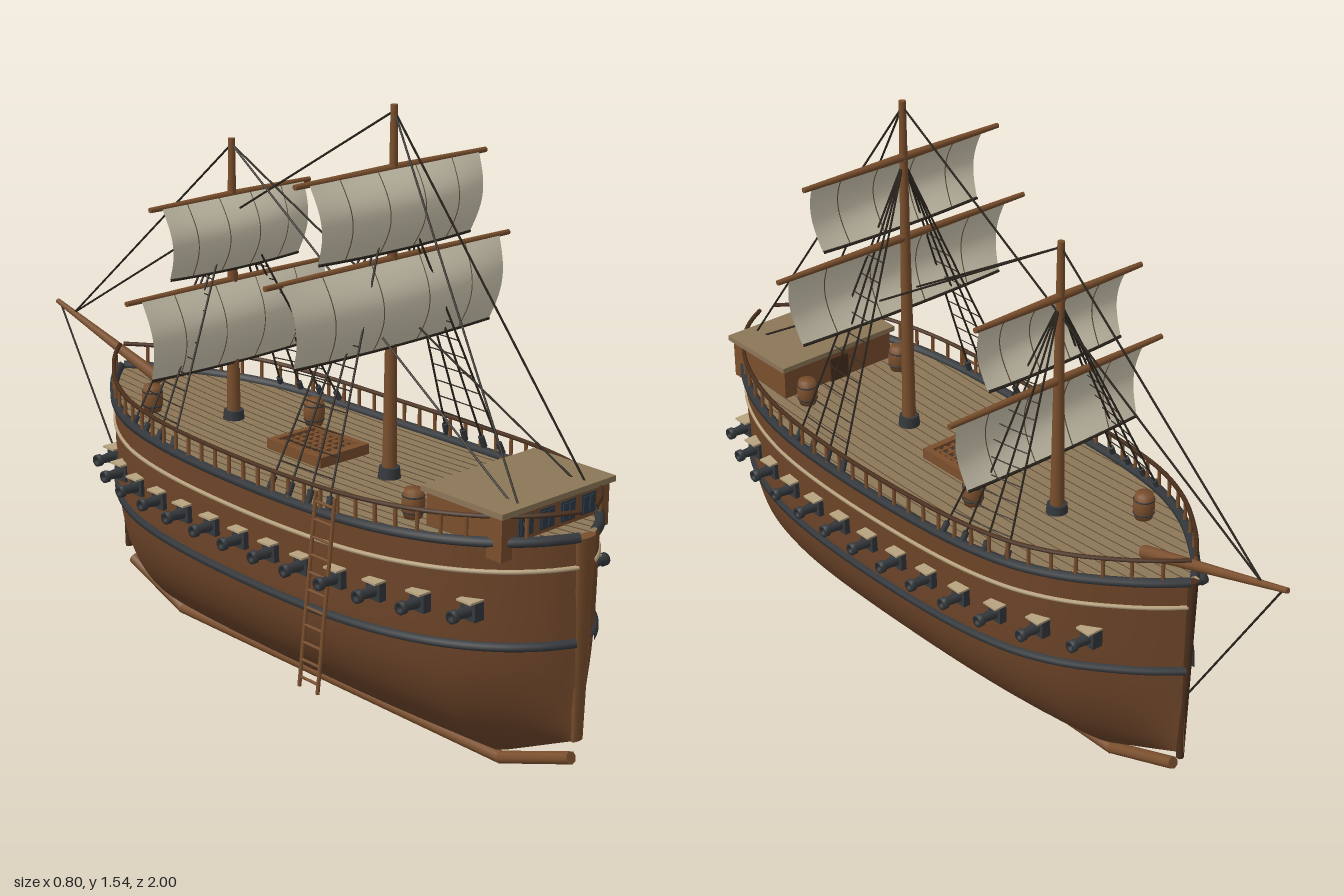
import * as THREE from 'three';

const mat = (color, double) => new THREE.MeshStandardMaterial({ color, side: double ? THREE.DoubleSide : THREE.FrontSide });
const M = {
  hull: mat(0x6e4529, true), wood: mat(0x7a4f2d), darkWood: mat(0x4a2f1c), deck: mat(0x8c7657, true), seam: mat(0x5d4b35),
  iron: mat(0x34383c), rope: mat(0x2a241d), sail: mat(0xd2cbb4, true), trim: mat(0xb8a37f), glass: mat(0x2c3a48),
};
const V = (x, y, z) => new THREE.Vector3(x, y, z);

function add(parent, name, geo, material, x = 0, y = 0, z = 0) {
  const m = new THREE.Mesh(geo, material);
  m.name = name;
  m.position.set(x, y, z);
  parent.add(m);
  return m;
}
const box = (p, name, w, h, d, material, x, y, z) => add(p, name, new THREE.BoxGeometry(w, h, d), material, x, y, z);

// Round bar between two points
function bar(p, name, a, b, r0, r1, material, sides = 6) {
  const m = add(p, name, new THREE.CylinderGeometry(r1, r0, a.distanceTo(b), sides), material);
  m.position.copy(a).add(b).multiplyScalar(0.5);
  m.quaternion.setFromUnitVectors(V(0, 1, 0), b.clone().sub(a).normalize());
  return m;
}
const rope = (p, name, a, b, r = 0.0028) => bar(p, name, a, b, r, r, M.rope, 5);

// Linear lookup in a list of [position, value] pairs
function lookup(table, s) {
  for (let i = 1; i < table.length; i++) {
    const [a, va] = table[i - 1], [b, vb] = table[i];
    if (s <= b) return va + (vb - va) * Math.max(0, (s - a) / (b - a));
  }
  return table[table.length - 1][1];
}
const smooth = (pairs, n) => new THREE.SplineCurve(pairs.map(p => new THREE.Vector2(...p))).getPoints(n).map(p => [p.x, p.y]);

// Hull form: plan half-width by z, section fullness by height, keel line, sheer
const PLAN = smooth([[-0.705, 0.006], [-0.66, 0.055], [-0.6, 0.108], [-0.5, 0.18], [-0.4, 0.23], [-0.3, 0.261], [-0.15, 0.284], [0.05, 0.296],
  [0.3, 0.3], [0.5, 0.291], [0.65, 0.265], [0.78, 0.22], [0.88, 0.16], [0.95, 0.09], [0.99, 0.025]], 70);
const SECTION = smooth([[0, 0.03], [0.05, 0.23], [0.11, 0.41], [0.2, 0.61], [0.3, 0.77], [0.42, 0.89], [0.55, 0.955], [0.75, 0.985], [1, 1]], 30);
const KEEL = [[-0.705, 0.15], [-0.45, 0.035], [0.75, 0.035], [0.99, 0.15]];
const BOW = -0.705, STERN = 0.99;
const lift = z => 0.035 * ((z - 0.145) / 0.855) ** 2;
const sheer = z => 0.622 + lift(z);
function hullX(z, y) {
  const k = lookup(KEEL, z);
  return lookup(PLAN, z) * lookup(SECTION, Math.min(1, (y - k) / (sheer(z) - k)));
}

function surface(rows, cols, fn) {
  const pos = [], idx = [];
  for (let i = 0; i <= rows; i++) for (let j = 0; j <= cols; j++) pos.push(...fn(i / rows, j / cols));
  for (let i = 0; i < rows; i++) for (let j = 0; j < cols; j++) {
    const a = i * (cols + 1) + j, b = a + cols + 1;
    idx.push(a, a + 1, b, a + 1, b + 1, b);
  }
  const g = new THREE.BufferGeometry();
  g.setAttribute('position', new THREE.Float32BufferAttribute(pos, 3));
  g.setIndex(idx);
  g.computeVertexNormals();
  return g;
}
const stationZ = t => BOW + (STERN - BOW) * (0.5 - 0.5 * Math.cos(Math.PI * t));

// Strake tube following the hull side at a base height
function strake(p, name, height, r, material, out = 0) {
  for (const s of [1, -1]) {
    const pts = [];
    for (let i = 0; i <= 40; i++) {
      const z = stationZ(i / 40), y = height + lift(z);
      pts.push(V(s * (hullX(z, y) + out), y, z));
    }
    add(p, name, new THREE.TubeGeometry(new THREE.CatmullRomCurve3(pts), 80, r, 6), material);
  }
}

function buildHull(g) {
  add(g, 'hull', surface(60, 48, (i, j) => {
    const z = stationZ(i), c = j * 2 - 1, k = lookup(KEEL, z);
    const u = c * c;
    return [Math.sign(c) * lookup(PLAN, z) * (c === 0 ? 0 : lookup(SECTION, u)), k + (sheer(z) - k) * u, z];
  }), M.hull);
  add(g, 'deck', surface(60, 2, (i, j) => {
    const z = stationZ(i);
    return [(1 - j * 2) * lookup(PLAN, z), sheer(z) - 0.002, z];
  }), M.deck);
  // Plank seams
  for (let x = -0.27; x < 0.28; x += 0.03) {
    const inside = PLAN.filter(p => p[1] > Math.abs(x) + 0.008).map(p => p[0]);
    const pts = [];
    for (let i = 0; i <= 10; i++) {
      const z = inside[0] + (inside[inside.length - 1] - inside[0]) * i / 10;
      pts.push(V(x, sheer(z) - 0.002, z));
    }
    add(g, 'plankSeam', new THREE.TubeGeometry(new THREE.CatmullRomCurve3(pts), 12, 0.0015, 4), M.seam);
  }
  strake(g, 'gunwale', 0.624, 0.013, M.iron);
  strake(g, 'trimStripe', 0.552, 0.006, M.trim);
  strake(g, 'wale', 0.367, 0.012, M.iron);
  strake(g, 'handRail', 0.686, 0.006, M.darkWood);
  for (let z = -0.66; z < 0.97; z += 0.0545) for (const s of [1, -1])
    bar(g, 'railPost', V(s * lookup(PLAN, z), sheer(z), z), V(s * lookup(PLAN, z), 0.686 + lift(z), z), 0.005, 0.005, M.wood);
  // Keel, stem and stern post
  bar(g, 'keel', V(0, 0.016, 0.755), V(0, 0.016, -0.455), 0.016, 0.016, M.wood, 8);
  bar(g, 'keelAft', V(0, 0.016, 0.75), V(0, 0.098, 0.97), 0.016, 0.016, M.wood, 8);
  bar(g, 'keelFore', V(0, 0.016, -0.45), V(0, 0.098, -0.67), 0.016, 0.016, M.wood, 8);
  bar(g, 'stem', V(0, 0.13, -0.692), V(0, 0.66, -0.706), 0.01, 0.013, M.darkWood, 8);
  const post = bar(g, 'sternPost', V(0, 0.15, 0.985), V(0, 0.655, 0.985), 0.018, 0.033, M.wood, 14);
  post.scale.z = 0.45;
}

function buildGuns(g) {
  const profile = [[0, -0.03], [0.014, -0.03], [0.014, 0.02], [0.011, 0.052], [0.016, 0.056], [0.016, 0.07], [0.008, 0.07], [0.008, 0.05], [0, 0.05]];
  const barrel = new THREE.LatheGeometry(profile.map(p => new THREE.Vector2(...p)), 12);
  for (let i = 0; i < 13; i++) for (const s of [1, -1]) {
    const z = 0.826 - i * 0.113, y = 0.48, x = s * hullX(z, y);
    const gun = new THREE.Group();
    gun.name = 'gun';
    g.add(gun);
    box(gun, 'gunPort', 0.03, 0.045, 0.045, M.iron, x, y, z);
    box(gun, 'portLid', 0.045, 0.005, 0.045, M.trim, x + s * 0.008, y + 0.026, z);
    add(gun, 'barrel', barrel, M.iron, x, y, z).rotation.z = -s * Math.PI / 2;
  }
}

function buildSail(g, z, yTop, yBot, wTop, wBot) {
  const bulge = (u, v) => z + 0.012 + 0.042 * Math.sin(Math.PI * v) * (1 - 0.35 * (2 * u - 1) ** 2);
  const at = (u, v, off = 0) => [(2 * u - 1) * (wTop + (wBot - wTop) * v), yTop + (yBot - yTop) * v + 0.012 * v * (1 - (2 * u - 1) ** 2) * -0.5, bulge(u, v) + off];
  add(g, 'sail', surface(14, 20, (v, u) => at(u, v)), M.sail);
  const line = (name, fn, r, material) => {
    const pts = Array.from({ length: 13 }, (_, i) => V(...fn(i / 12)));
    add(g, name, new THREE.TubeGeometry(new THREE.CatmullRomCurve3(pts), 20, r, 5), material);
  };
  line('footRope', t => at(t, 1), 0.004, M.rope);
  for (const u of [0.17, 0.39, 0.61, 0.83]) line('sailSeam', t => at(u, t), 0.0015, M.seam);
}

// Mast with yards, sails and shrouds; each sail: [yard y, foot y, yard half, head half, foot half]
function buildMast(g, name, z, top, apex, sails) {
  const mast = new THREE.Group();
  mast.name = name;
  g.add(mast);
  bar(mast, 'pole', V(0, 0.6, z), V(0, top, z), 0.019, 0.009, M.wood, 12);
  bar(mast, 'collar', V(0, 0.615, z), V(0, 0.65, z), 0.03, 0.026, M.iron, 12);
  for (const [y, foot, half, head, base] of sails) {
    for (const s of [1, -1]) bar(mast, 'yard', V(0, y, z), V(s * half, y, z), 0.011, 0.007, M.wood, 8);
    buildSail(mast, z, y, foot, head, base);
  }
  for (const s of [1, -1]) {
    const feet = [-0.1, -0.034, 0.034, 0.1].map(d => V(s * lookup(PLAN, z + d), 0.64, z + d));
    const head = V(0, apex, z);
    for (const f of feet) {
      rope(mast, 'shroud', f, head);
      bar(mast, 'deadeye', f, f.clone().lerp(head, 0.04), 0.008, 0.008, M.iron, 8);
    }
    for (let t = 0.09; t < 0.7; t += 0.065) for (let i = 0; i < 3; i++)
      rope(mast, 'ratline', feet[i].clone().lerp(head, t), feet[i + 1].clone().lerp(head, t), 0.0016);
  }
}

function buildDeckFittings(g) {
  // Stern cabin
  box(g, 'cabin', 0.36, 0.11, 0.235, M.wood, 0, 0.665, 0.78);
  box(g, 'cabinRoof', 0.38, 0.014, 0.255, M.deck, 0, 0.724, 0.78);
  for (const x of [-0.105, -0.035, 0.035, 0.105]) {
    box(g, 'windowFrame', 0.048, 0.05, 0.008, M.iron, x, 0.683, 0.898);
    for (const d of [-0.011, 0.011]) box(g, 'windowPane', 0.017, 0.04, 0.006, M.glass, x + d, 0.683, 0.902);
  }
  box(g, 'cabinDoor', 0.06, 0.075, 0.008, M.darkWood, 0, 0.665, 0.66);
  // Grated hatch
  for (const s of [1, -1]) {
    box(g, 'hatchSide', 0.018, 0.035, 0.2, M.wood, s * 0.073, 0.63, 0.097);
    box(g, 'hatchEnd', 0.164, 0.035, 0.018, M.wood, 0, 0.63, 0.097 + s * 0.091);
  }
  box(g, 'hatchWell', 0.14, 0.006, 0.18, M.iron, 0, 0.627, 0.097);
  for (let i = -2; i <= 2; i++) box(g, 'gratingBar', 0.007, 0.008, 0.17, M.wood, i * 0.024, 0.637, 0.097);
  for (let i = -3; i <= 3; i++) box(g, 'gratingBar', 0.14, 0.008, 0.007, M.wood, 0, 0.638, 0.097 + i * 0.023);
  // Barrels
  const staves = new THREE.LatheGeometry([[0, 0], [0.022, 0], [0.027, 0.02], [0.028, 0.035], [0.027, 0.05], [0.022, 0.07], [0, 0.07]].map(p => new THREE.Vector2(...p)), 14);
  for (const [x, z] of [[-0.135, -0.4], [0.13, -0.06], [-0.16, 0.6], [0.145, 0.61]]) {
    const y = sheer(z) - 0.002;
    add(g, 'barrel', staves, M.wood, x, y, z);
    for (const h of [0.016, 0.054]) add(g, 'barrelHoop', new THREE.TorusGeometry(0.0258, 0.0022, 5, 16), M.iron, x, y + h, z).rotation.x = Math.PI / 2;
  }
  // Boarding ladder
  const top = V(-0.303, 0.68, 0.455), foot = V(-0.355, 0.2, 0.455), dz = V(0, 0, 0.032);
  for (const s of [1, -1]) bar(g, 'ladderRail', top.clone().addScaledVector(dz, s), foot.clone().addScaledVector(dz, s), 0.005, 0.005, M.wood);
  for (let i = 0; i < 11; i++) {
    const c = foot.clone().lerp(top, 0.05 + i * 0.09);
    bar(g, 'ladderRung', c.clone().sub(dz), c.clone().add(dz), 0.004, 0.004, M.wood);
  }
}

export function createModel() {
  const g = new THREE.Group();
  g.name = 'sailingShip';
  buildHull(g);
  buildGuns(g);
  buildMast(g, 'mainMast', 0.355, 1.54, 1.38, [[1.39, 1.2, 0.31, 0.275, 0.25], [1.17, 0.965, 0.4, 0.355, 0.325]]);
  buildMast(g, 'foreMast', -0.23, 1.37, 1.21, [[1.225, 1.04, 0.265, 0.235, 0.215], [1.0, 0.79, 0.345, 0.305, 0.28]]);
  buildDeckFittings(g);
  // Bowsprit and stays
  bar(g, 'bowsprit', V(0, 0.66, -0.54), V(0, 0.783, -0.998), 0.017, 0.007, M.wood, 10);
  const mainTop = V(0, 1.525, 0.355), foreTop = V(0, 1.355, -0.23), sprit = V(0, 0.765, -0.92);
  rope(g, 'mainStay', mainTop, sprit);
  rope(g, 'foreStay', foreTop, sprit);
  rope(g, 'bobstay', V(0, 0.78, -0.985), V(0, 0.32, -0.7));
  for (const s of [1, -1]) {
    rope(g, 'mainBackstay', mainTop, V(s * 0.12, 0.67, 0.92));
    rope(g, 'foreBackstay', foreTop, V(s * 0.11, 0.71, 0.88));
  }
  return g;
}
